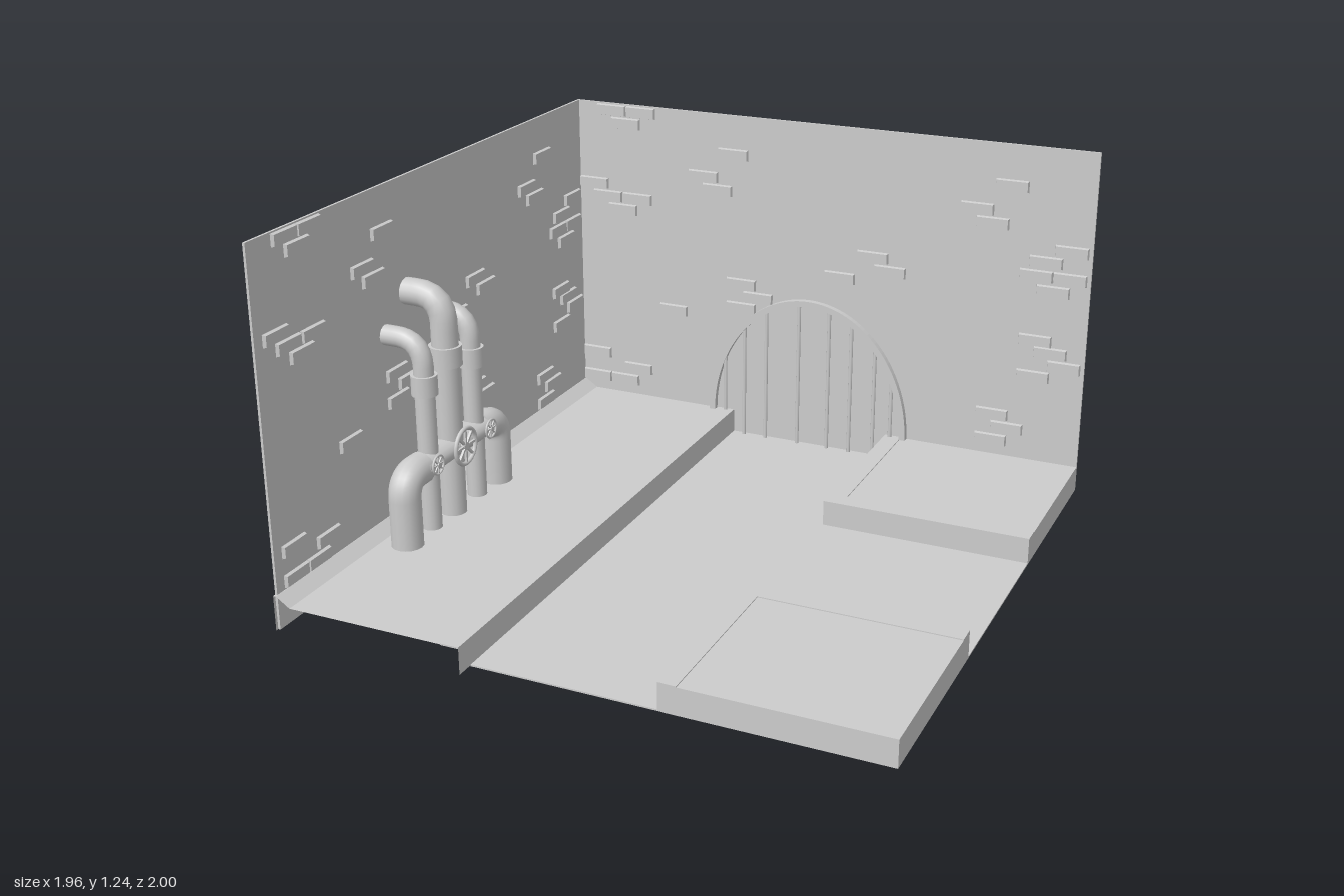
import * as THREE from 'three';

const grey = new THREE.MeshStandardMaterial({ color: 0xcccccc, side: THREE.DoubleSide });
const flat = new THREE.MeshStandardMaterial({ color: 0xcccccc, side: THREE.DoubleSide, flatShading: true });

function add(parent, name, geometry, material = grey) {
  const mesh = new THREE.Mesh(geometry, material);
  mesh.name = name;
  parent.add(mesh);
  return mesh;
}

// Box given by its lowest and highest corners
function box(parent, name, [x0, y0, z0], [x1, y1, z1]) {
  const mesh = add(parent, name, new THREE.BoxGeometry(x1 - x0, y1 - y0, z1 - z0));
  mesh.position.set((x0 + x1) / 2, (y0 + y1) / 2, (z0 + z1) / 2);
  return mesh;
}

function upright(parent, name, x, z, y0, y1, r, sides = 16) {
  const mesh = add(parent, name, new THREE.CylinderGeometry(r, r, y1 - y0, sides));
  mesh.position.set(x, (y0 + y1) / 2, z);
  return mesh;
}

// Pipe with straight runs a-b and c-d joined by a rounded corner
function bentPipe(parent, name, a, b, corner, c, d, r) {
  const [A, B, K, C, D] = [a, b, corner, c, d].map(p => new THREE.Vector3(...p));
  const path = new THREE.CurvePath();
  path.add(new THREE.LineCurve3(A, B));
  path.add(new THREE.QuadraticBezierCurve3(B, K, C));
  path.add(new THREE.LineCurve3(C, D));
  add(parent, name, new THREE.TubeGeometry(path, 36, r, 16));
  // Cap on the far end
  const cap = add(parent, name + 'Cap', new THREE.CircleGeometry(r, 16));
  cap.position.copy(D);
  cap.lookAt(D.clone().multiplyScalar(2).sub(C));
}

// Brick centres as [along the wall, height]
const bricks = [
  [-.8, 1.215], [-.685, 1.215], [-.745, 1.17], [-.32, 1.1], [-.435, 1.01], [-.38, .965],
  [.69, 1.1], [.575, 1.01], [.63, .965], [.905, .895], [.82, .85], [.79, .8], [.905, .8], [.85, .75],
  [.21, .79], [.275, .745], [.09, .7], [-.285, .625], [-.22, .58], [-.285, .535], [-.555, .49],
  [.8, .57], [.855, .53], [.905, .485], [.8, .44], [.665, .28], [.72, .235], [.665, .185],
  [-.875, .94], [-.82, .895], [-.7, .895], [-.76, .85],
  [-.875, .28], [-.705, .235], [-.875, .185], [-.76, .185],
];

function brickGeometry() {
  const g = new THREE.BoxGeometry(.116, .042, .014);
  const p = g.attributes.position;
  // Bevel the outer face
  for (let i = 0; i < p.count; i++) {
    if (p.getZ(i) > 0) p.setXY(i, p.getX(i) * .93, p.getY(i) * .82);
  }
  g.computeVertexNormals();
  return g;
}

function buildBricks(list, name) {
  const group = new THREE.Group();
  group.name = name;
  const g = brickGeometry();
  for (const [u, y] of list) add(group, 'brick', g, flat).position.set(u, y, 0);
  return group;
}

function buildWalkway() {
  // Open sheet: sloped skirting, walking surface and curb, swept along z
  const profile = [[-.94, .045], [-.94, .16], [-.93, .16], [-.885, .13], [-.31, .13], [-.31, .045]];
  const pos = [], index = [];
  for (let i = 0; i < profile.length - 1; i++) {
    const [x0, y0] = profile[i], [x1, y1] = profile[i + 1], n = i * 4;
    pos.push(x0, y0, -1, x0, y0, 1, x1, y1, 1, x1, y1, -1);
    index.push(n, n + 1, n + 2, n, n + 2, n + 3);
  }
  const g = new THREE.BufferGeometry();
  g.setAttribute('position', new THREE.Float32BufferAttribute(pos, 3));
  g.setIndex(index);
  g.computeVertexNormals();
  return g;
}

function buildPipes() {
  const group = new THREE.Group();
  group.name = 'pipes';
  const x = -.8, wall = -.93;

  // Manifold with a leg at each end
  for (const [z, s] of [[.495, -1], [-.06, 1]]) {
    bentPipe(group, 'manifoldLeg', [x, .13, z], [x, .29, z], [x, .355, z],
      [x, .355, z + s * .07], [x, .355, z + s * .1], .052);
  }
  const bar = add(group, 'manifoldBar', new THREE.CylinderGeometry(.052, .052, .4, 16));
  bar.rotation.x = Math.PI / 2;
  bar.scale.z = .7;
  bar.position.set(x, .362, .2175);

  // Risers that turn into the wall: z, start, top, radius, collar height, end
  const risers = [
    [.22, 0, .87, .044, .675, -.98],
    [.35, .13, .765, .033, .62, -.96],
    [.07, .13, .765, .033, .62, -.96],
  ];
  for (const [z, start, top, r, collar, end] of risers) {
    bentPipe(group, 'riser', [x, start, z], [x, top - .09, z], [x, top, z],
      [x - .09, top, z], [end, top, z], r);
    upright(group, 'collar', x, z, collar - .033, collar + .033, r + .01);
  }
  const foot = add(group, 'footCap', new THREE.CircleGeometry(.044, 16));
  foot.rotation.x = Math.PI / 2;
  foot.position.set(x, 0, .22);

  // Valve wheels facing the room
  for (const [z, R] of [[.22, .06], [.385, .031], [.06, .031]]) {
    const wheel = new THREE.Group();
    wheel.name = 'valveWheel';
    add(wheel, 'rim', new THREE.TorusGeometry(R, R * .12, 8, 24));
    for (let i = 0; i < 4; i++) {
      const spoke = add(wheel, 'spoke', new THREE.BoxGeometry(R * 2, R * .13, R * .13));
      spoke.rotation.z = i * Math.PI / 4;
    }
    const hub = add(wheel, 'hub', new THREE.CylinderGeometry(R * .22, R * .22, .03, 12));
    hub.rotation.x = Math.PI / 2;
    hub.position.z = -.01;
    wheel.rotation.y = Math.PI / 2;
    wheel.position.set(-.742, .37, z);
    group.add(wheel);
  }
  return group;
}

function buildGrate() {
  const group = new THREE.Group();
  group.name = 'archGrate';
  // Arched frame
  const cx = -.02, cy = .13, w = .38, h = .47, t = .022;
  const arch = new THREE.Shape();
  arch.absellipse(cx, cy, w, h, 0, Math.PI, false);
  arch.lineTo(cx - w, .1);
  arch.lineTo(cx - w + t, .1);
  arch.absellipse(cx, cy, w - t, h - t, Math.PI, 0, true);
  const g = new THREE.ExtrudeGeometry(arch, { depth: .022, bevelEnabled: false, curveSegments: 32 });
  add(group, 'archFrame', g).position.z = -.962;
  // Bars rise to meet the arch: x, bottom
  const bars = [[-.34, .1], [-.265, .04], [-.18, 0], [-.055, .04], [.06, .04], [.145, 0], [.235, .04], [.3, .1]];
  for (const [x, y0] of bars) {
    const top = cy + (h - t / 2) * Math.sqrt(1 - ((x - cx) / (w - t / 2)) ** 2);
    upright(group, 'bar', x, -.95, y0, top, .007, 8);
  }
  return group;
}

export function createModel() {
  const model = new THREE.Group();
  model.name = 'sewerRoom';

  box(model, 'floor', [-.31, .042, -.965], [.975, .047, .94]);
  box(model, 'backWall', [-.94, .045, -.97], [.975, 1.24, -.962]);
  box(model, 'leftWall', [-.94, .045, -.97], [-.932, 1.24, .99]);
  add(model, 'walkway', buildWalkway());
  box(model, 'walkwayLip', [-.37, .128, -.96], [-.31, .133, 1]);

  // Raised platforms with a narrow lip on the edges facing the room
  for (const [z0, z1, lip] of [[-.962, -.34, -.4], [.31, .94, .31]]) {
    box(model, 'platform', [.28, .045, z0], [.975, .13, z1]);
    box(model, 'platformSideLip', [.28, .128, z0], [.34, .133, z1]);
    box(model, 'platformLip', [.34, .128, lip], [.975, .133, lip + .06]);
  }

  // Brick relief on both walls
  const back = buildBricks(bricks, 'backBricks');
  back.position.z = -.958;
  const left = buildBricks([...bricks, [.185, .41], [.24, .365]], 'leftBricks');
  left.rotation.y = Math.PI / 2;
  left.position.set(-.928, 0, .02);
  model.add(back, left, buildPipes(), buildGrate());
  return model;
}
